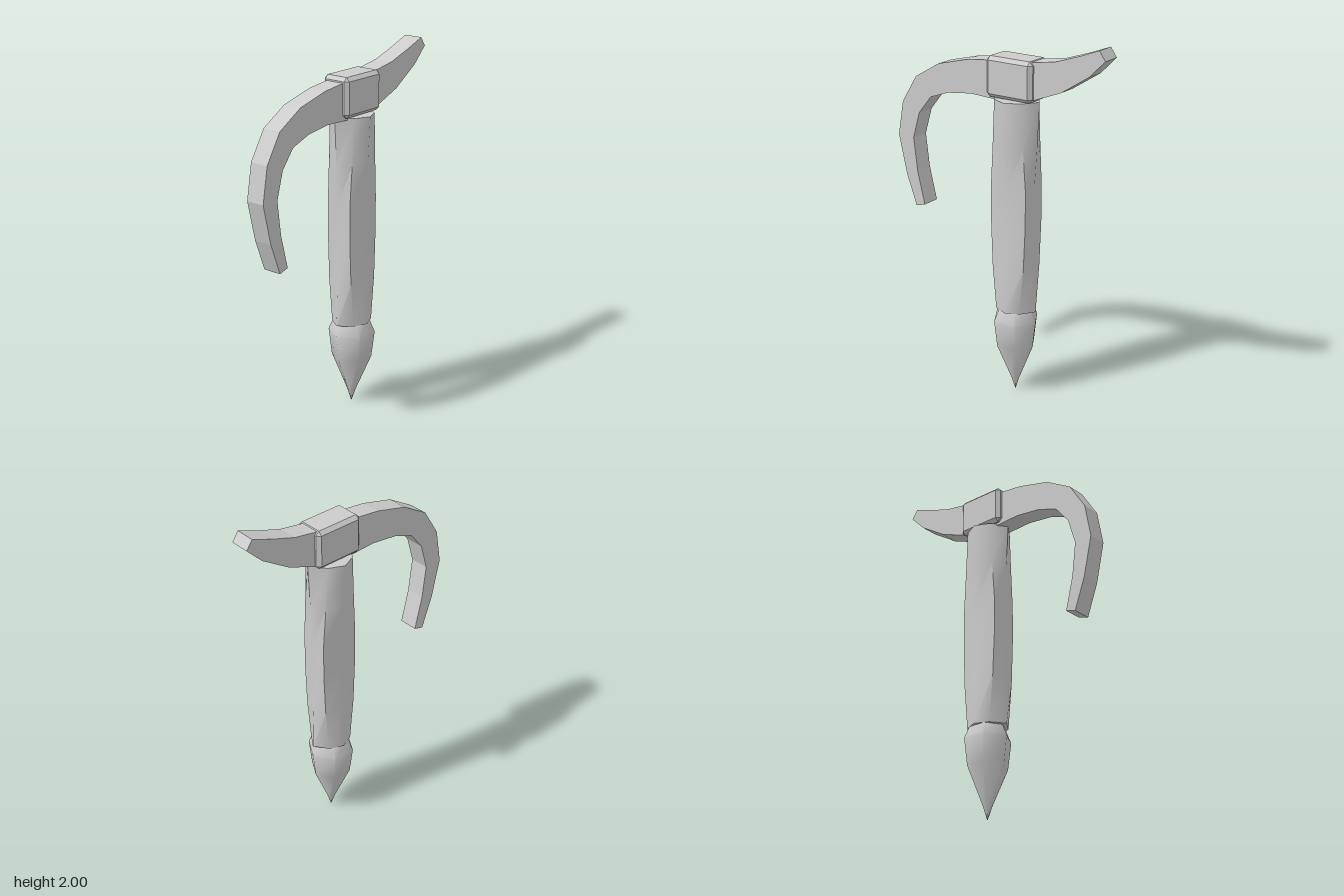
import * as THREE from 'three';
import { toCreasedNormals } from 'three/addons/utils/BufferGeometryUtils.js';
import { ConvexGeometry } from 'three/addons/geometries/ConvexGeometry.js';

const AXIS = 0.095; // x of the handle's axis

// Closed solid through rings of equal point count, listed from bottom to top
function loft(rings, crease) {
  const n = rings[0].length, pos = [], index = [];
  rings.forEach((r) => r.forEach((p) => pos.push(...p)));
  for (let i = 0; i < rings.length - 1; i++) {
    for (let j = 0; j < n; j++) {
      const a = i * n + j, b = i * n + (j + 1) % n;
      index.push(a, a + n, b, b, a + n, b + n);
    }
  }
  const top = (rings.length - 1) * n;
  for (let j = 1; j < n - 1; j++) {
    index.push(0, j, j + 1, top, top + j + 1, top + j);
  }
  const g = new THREE.BufferGeometry();
  g.setAttribute('position', new THREE.Float32BufferAttribute(pos, 3));
  g.setIndex(index);
  return toCreasedNormals(g, crease);
}

export function createModel() {
  const group = new THREE.Group();
  const grey = new THREE.MeshStandardMaterial({ color: 0xcccccc });
  grey.name = 'grey';
  const add = (name, geometry) => {
    const mesh = new THREE.Mesh(geometry, grey);
    mesh.name = name;
    group.add(mesh);
    return mesh;
  };

  // Handle: eight-sided, diamond-like at the ends and squarer in the middle
  // y, half width, half depth, diagonal corner x, diagonal corner z
  const handleRings = [
    [0.495, 0.13, 0.11, 0.077, 0.076],
    [0.75, 0.121, 0.102, 0.1, 0.077],
    [1.0, 0.112, 0.095, 0.11, 0.076],
    [1.2, 0.115, 0.097, 0.11, 0.076],
    [1.42, 0.13, 0.108, 0.096, 0.08],
    [1.67, 0.143, 0.122, 0.083, 0.084],
  ].map(([y, w, d, cx, cz]) => [
    [w, 0], [cx, cz], [0, d], [-cx, cz], [-w, 0], [-cx, -cz], [0, -d], [cx, -cz],
  ].map(([x, z]) => [AXIS + x, y, z]));
  add('handle', loft(handleRings, 0.9));

  // Spike: six-sided pointed foot with a narrower neck
  const spikeRings = [[0, 0.002], [0.07, 0.025], [0.28, 0.112], [0.43, 0.13], [0.5, 0.1]]
    .map(([y, r]) => Array.from({ length: 6 }, (_, i) => {
      const a = i * Math.PI / 3;
      return [AXIS + r * Math.cos(a), y, r * Math.sin(a)];
    }));
  add('footSpike', loft(spikeRings, 1.1));

  // Head block: box with every edge chamfered
  const half = [0.142, 0.108, 0.083], c = 0.02, corners = [];
  for (const sx of [-1, 1]) for (const sy of [-1, 1]) for (const sz of [-1, 1]) {
    for (let k = 0; k < 3; k++) {
      const p = half.map((h, i) => (i === k ? h : h - c));
      corners.push(new THREE.Vector3(p[0] * sx, p[1] * sy, p[2] * sz));
    }
  }
  add('headBlock', new ConvexGeometry(corners)).position.set(0.094, 1.782, 0);

  // Blade: long hooked pick on one side, short upswept adze on the other
  const outline = [
    [0.617, 2], [0.5, 1.955], [0.36, 1.908], [0.235, 1.887], [-0.05, 1.862],
    [-0.183, 1.846], [-0.373, 1.797], [-0.527, 1.706], [-0.622, 1.553],
    [-0.656, 1.36], [-0.606, 1.14], [-0.542, 0.965], [-0.484, 0.982],
    [-0.53, 1.17], [-0.553, 1.357], [-0.51, 1.505], [-0.43, 1.605],
    [-0.31, 1.648], [-0.16, 1.667], [0, 1.66], [0.1, 1.68], [0.235, 1.69],
    [0.4, 1.755], [0.563, 1.86], [0.652, 1.95],
  ].map(([x, y]) => new THREE.Vector2(x, y));
  const blade = new THREE.ExtrudeGeometry(new THREE.Shape(outline), { depth: 0.108, bevelEnabled: false });
  add('hookedBlade', blade.translate(0, 0, -0.054));

  return group;
}
